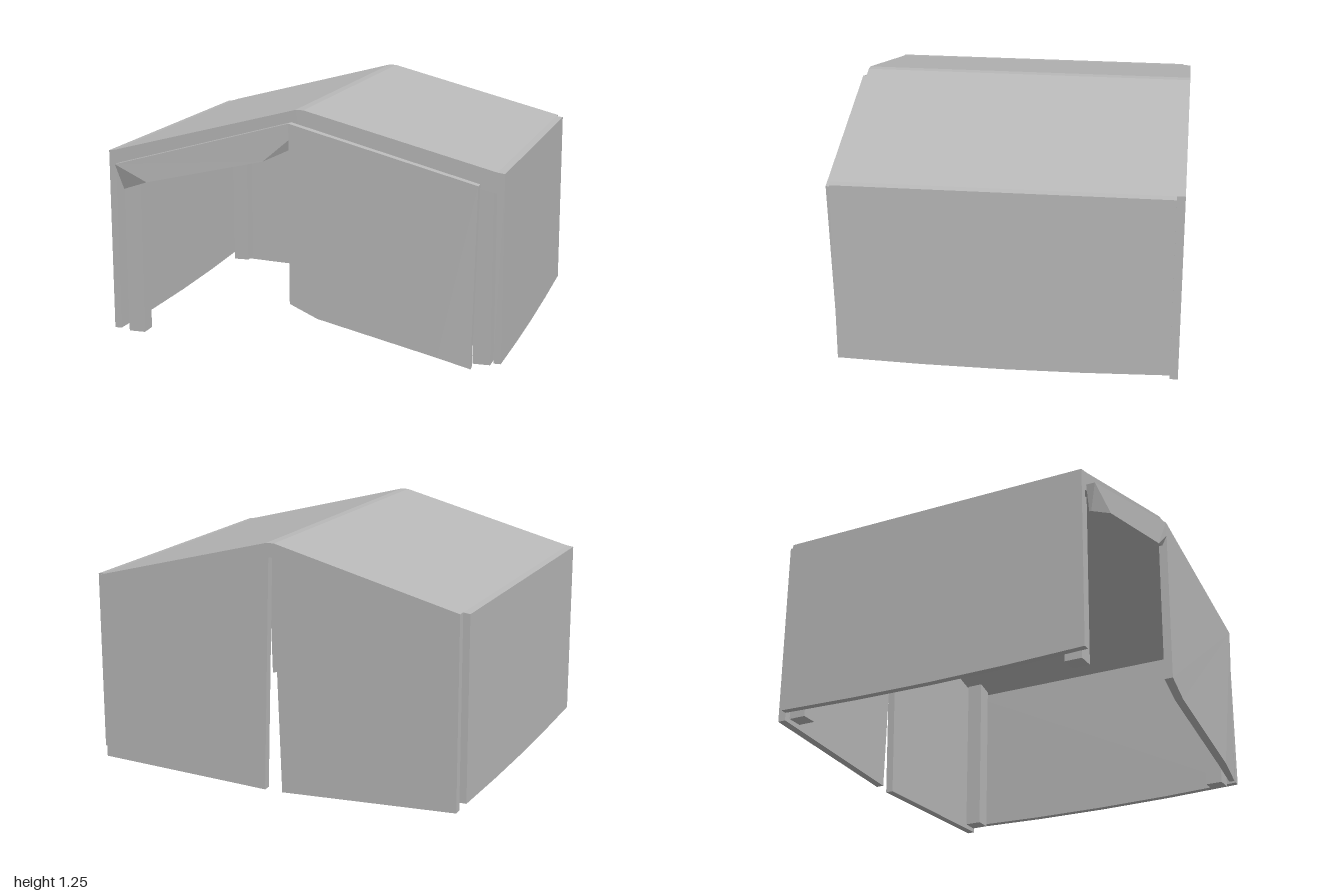
import * as THREE from 'three';

const canvas = new THREE.MeshStandardMaterial({ color: 0xb8b8b8 });
canvas.name = 'greyCanvas';

function part(name, geometry) {
  const mesh = new THREE.Mesh(geometry, canvas);
  mesh.name = name;
  return mesh;
}

// Flat outline extruded from z0 to z1
function slab(points, z0, z1) {
  const shape = new THREE.Shape(points.map(([x, y]) => new THREE.Vector2(x, y)));
  const geometry = new THREE.ExtrudeGeometry(shape, { depth: z1 - z0, bevelEnabled: false });
  return geometry.translate(0, 0, z0);
}

// Folded panel: each corner has its own front depth, the back is flat.
// Corners run counter-clockwise; faces lists the front triangles.
function foldedPanel(corners, faces, zBack) {
  const front = corners.map((c) => c);
  const back = corners.map(([x, y]) => [x, y, zBack]);
  const out = [];
  for (const [a, b, c] of faces) {
    out.push(...front[a], ...front[b], ...front[c]);
    out.push(...back[a], ...back[c], ...back[b]);
  }
  corners.forEach((_, i) => {
    const j = (i + 1) % corners.length;
    out.push(...back[i], ...back[j], ...front[j]);
    out.push(...back[i], ...front[j], ...front[i]);
  });
  const geometry = new THREE.BufferGeometry();
  geometry.setAttribute('position', new THREE.Float32BufferAttribute(out, 3));
  geometry.computeVertexNormals();
  return geometry;
}

export function createModel() {
  const tent = new THREE.Group();
  tent.name = 'tent';

  // Pitched roof
  tent.add(part('roof', slab([
    [-1, 0.905], [-0.965, 0.905], [0, 1.145], [0.965, 0.905], [1, 0.905],
    [1, 1], [0.965, 1.005], [0.02, 1.25], [-0.02, 1.25], [-0.965, 1.005], [-1, 1],
  ], -0.82, 0.81)));

  // Side walls with a slightly sagging hem, and corner posts
  for (const side of [-1, 1]) {
    const wall = slab([
      [-0.81, 0.08], [-0.4, 0.068], [0, 0.064], [0.4, 0.068], [0.82, 0.08],
      [0.82, 0.905], [-0.81, 0.905],
    ], -0.0175, 0.0175);
    wall.rotateY(Math.PI / 2).translate(side * 0.9825, 0, 0);
    tent.add(part(side > 0 ? 'leftWall' : 'rightWall', wall));

    for (const z of [0.725, -0.768]) {
      const post = new THREE.BoxGeometry(0.085, 0.88, 0.087);
      post.translate(side * 0.8975, 0.495, z);
      tent.add(part(z > 0 ? 'frontPost' : 'backPost', post));
    }
  }

  // Back wall, slit up the middle
  tent.add(part('backWall', slab([
    [-0.965, 0.04], [-0.05, 0], [-0.01, 1.18], [0.01, 1.18], [0.045, 0], [0.965, 0.04],
    [0.965, 1.005], [0.02, 1.25], [-0.02, 1.25], [-0.965, 1.005],
  ], -0.86, -0.82)));

  // Closed front flap
  tent.add(part('hangingFlap', foldedPanel([
    [-0.04, 0.3, 0.855], [0.1, 0.235, 0.852], [0.7, 0.095, 0.852],
    [0.86, 0.05, 0.84], [0.885, 0.945, 0.855], [-0.04, 1.19, 0.855],
  ], [[2, 3, 4], [1, 2, 4], [0, 1, 4], [0, 4, 5]], 0.81)));

  // Front flap folded up under the eave
  tent.add(part('raisedFlap', foldedPanel([
    [-0.95, 0.94, 0.855], [-0.92, 0.81, 0.82], [-0.78, 0.86, 0.86], [-0.17, 1, 0.86],
    [-0.04, 1.06, 0.83], [-0.04, 1.11, 0.855], [-0.04, 1.19, 0.855],
  ], [[0, 1, 2], [0, 2, 3], [0, 3, 6], [3, 5, 6], [3, 4, 5]], 0.81)));

  return tent;
}
